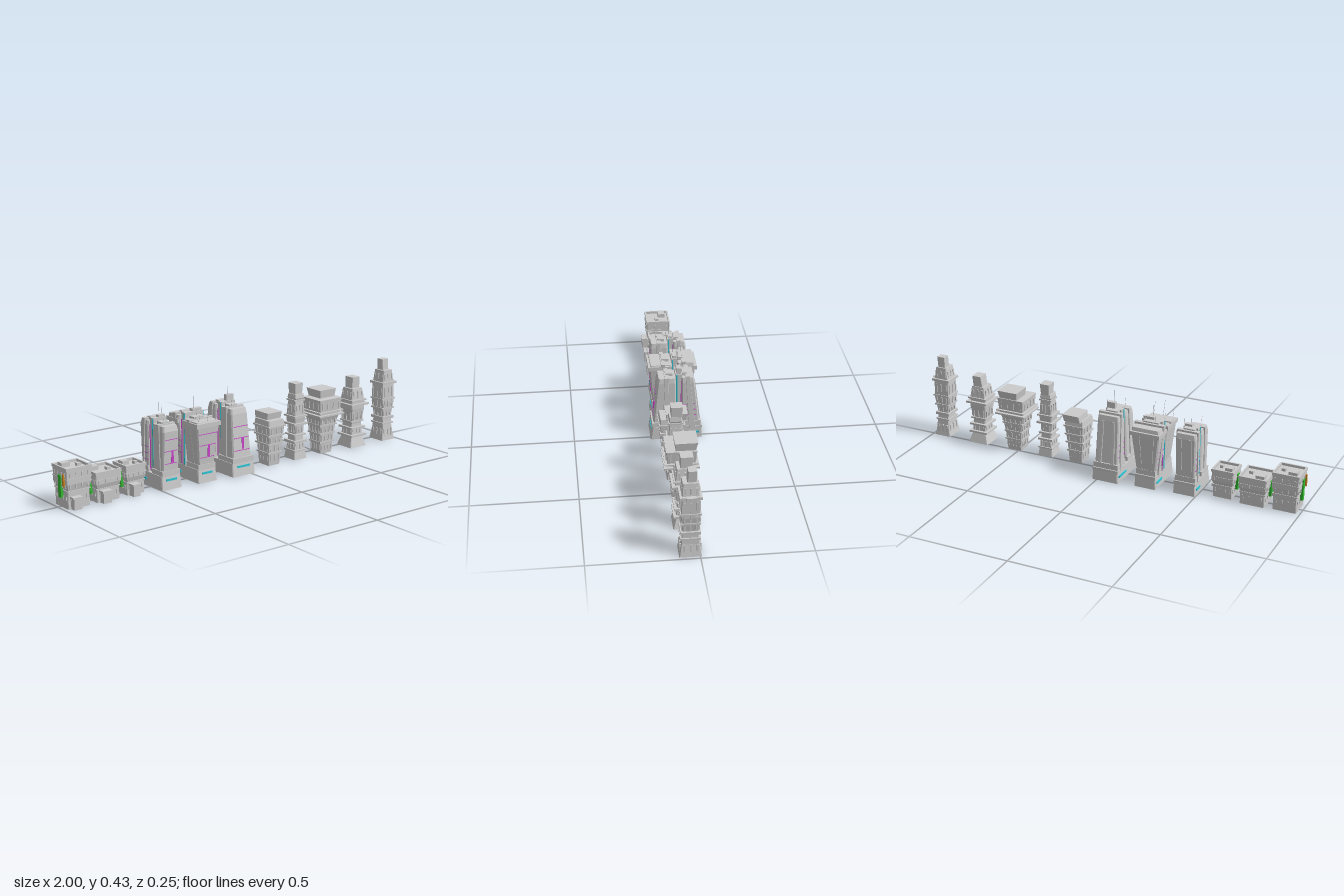
import * as THREE from 'three';

const mat = (color) => new THREE.MeshStandardMaterial({ color, flatShading: true });
const GREY = mat(0xcccccc), MAGENTA = mat(0xcc44cc), TEAL = mat(0x2ec8d8), GREEN = mat(0x33bb33), ORANGE = mat(0xcc8822);

function add(parent, name, geometry, material = GREY) {
  const mesh = new THREE.Mesh(geometry, material);
  mesh.name = name;
  parent.add(mesh);
  return mesh;
}

// box given by its limits
function box(parent, name, x0, x1, y0, y1, z0, z1, material) {
  const m = add(parent, name, new THREE.BoxGeometry(x1 - x0, y1 - y0, z1 - z0), material);
  m.position.set((x0 + x1) / 2, (y0 + y1) / 2, (z0 + z1) / 2);
  return m;
}

// solid skinned over chamfered rectangles, each section [y, x0, x1, z0, z1]
function loft(parent, name, sections, c = 0.004, material = GREY) {
  const rings = sections.map(([y, x0, x1, z0, z1]) => [
    [x0 + c, z1], [x1 - c, z1], [x1, z1 - c], [x1, z0 + c],
    [x1 - c, z0], [x0 + c, z0], [x0, z0 + c], [x0, z1 - c],
  ].map(([x, z]) => [x, y, z]));
  const pos = [], tri = (a, b, d) => pos.push(...a, ...b, ...d);
  for (let r = 0; r < rings.length - 1; r++) {
    const lo = rings[r], hi = rings[r + 1];
    for (let i = 0; i < 8; i++) {
      const j = (i + 1) % 8;
      tri(lo[i], lo[j], hi[j]);
      tri(lo[i], hi[j], hi[i]);
    }
  }
  const bot = rings[0], top = rings[rings.length - 1];
  for (let i = 1; i < 7; i++) {
    tri(top[0], top[i], top[i + 1]);
    tri(bot[0], bot[i + 1], bot[i]);
  }
  const g = new THREE.BufferGeometry();
  g.setAttribute('position', new THREE.Float32BufferAttribute(pos, 3));
  g.computeVertexNormals();
  return add(parent, name, g, material);
}

// limits of a loft at height y
function sectionAt(sections, y) {
  let i = 0;
  while (i < sections.length - 2 && sections[i + 1][0] < y) i++;
  const a = sections[i], b = sections[i + 1], t = (y - a[0]) / (b[0] - a[0]);
  return a.map((v, k) => v + (b[k] - v) * t);
}

function ledge(parent, sections, y, out, h = 0.008) {
  const [, x0, x1, z0, z1] = sectionAt(sections, y);
  box(parent, 'ledge', x0 - out, x1 + out, y, y + h, z0 - out, z1 + out);
}

// raised window frames on all four sides
function windows(parent, sections, y, h, n = 3) {
  const [, x0, x1, z0, z1] = sectionAt(sections, y + h / 2);
  const w = 0.007, d = 0.003;
  for (let i = 0; i < n; i++) {
    const t = (i + 0.5) / n, x = x0 + (x1 - x0) * t, z = z0 + (z1 - z0) * t;
    for (const f of [z0, z1]) box(parent, 'window', x - w / 2, x + w / 2, y, y + h, f - d, f + d);
    for (const f of [x0, x1]) box(parent, 'window', f - d, f + d, y, y + h, z - w / 2, z + w / 2);
  }
}

function antenna(parent, x, y, z, h, lean = 0) {
  const m = add(parent, 'antenna', new THREE.CylinderGeometry(0.0006, 0.0012, h, 4));
  m.position.set(x, y + h / 2, z + lean * h / 2);
  m.rotation.x = Math.atan(lean);
}

// flat roof edge around an open roof
function parapet(parent, x0, x1, z0, z1, y, h, t = 0.008) {
  const outer = new THREE.Shape([[x0, -z0], [x1, -z0], [x1, -z1], [x0, -z1]].map((p) => new THREE.Vector2(...p)));
  outer.holes.push(new THREE.Path([[x0 + t, -z0 - t], [x0 + t, -z1 + t], [x1 - t, -z1 + t], [x1 - t, -z0 - t]].map((p) => new THREE.Vector2(...p))));
  const m = add(parent, 'parapet', new THREE.ExtrudeGeometry(outer, { depth: h, bevelEnabled: false }));
  m.rotation.x = -Math.PI / 2;
  m.position.y = y;
}

// small house block with porch, roof hut and side signs
function house(root, x, hx, z0, z1, h, tall) {
  const g = new THREE.Group();
  g.name = 'lowBlock';
  g.position.x = x;
  root.add(g);
  const b = hx - 0.007;
  const s = [[0, -b, b, z0 + 0.006, z1 - 0.006], [h * 0.45, -b, b, z0 + 0.006, z1 - 0.006],
    [h * 0.6, -hx, hx, z0, z1], [h - 0.012, -hx, hx, z0, z1]];
  loft(g, 'body', s, 0.003);
  parapet(g, -hx - 0.002, hx + 0.002, z0 - 0.002, z1 + 0.002, h - 0.014, 0.014);
  box(g, 'roofHut', -hx * 0.75, -hx * 0.1, h - 0.012, h + 0.008, z0 + 0.02, z0 + 0.055);
  box(g, 'roofVent', hx * 0.3, hx * 0.6, h - 0.012, h + 0.002, 0, 0.02);
  box(g, 'porch', -hx * 0.65, 0, 0, 0.055, z1 - 0.01, 0.088);
  box(g, 'porchRoof', -hx * 0.72, hx * 0.07, 0.05, 0.058, z1 - 0.01, 0.09);
  ledge(g, s, h * 0.42, 0.003, 0.005);
  ledge(g, s, h * 0.72, 0.002, 0.004);
  for (const t of tall ? [0.2, 0.5, 0.78] : [0.2, 0.62]) windows(g, s, h * t, 0.018, 4);
  for (let i = 0; i < 3; i++) box(g, 'airUnit', hx - 0.004, hx + 0.006, h * (0.3 + i * 0.2), h * (0.3 + i * 0.2) + 0.014, -0.03 + i * 0.03, -0.015 + i * 0.03);
  box(g, 'sideSign', -hx - 0.006, -b + 0.002, h * 0.25, h * 0.8, 0.0, 0.022, GREEN);
  if (tall) box(g, 'smallSign', -hx - 0.008, -hx + 0.002, h * 0.55, h * 0.85, 0.04, 0.05, ORANGE);
}
 
// twin slab skyscraper: front tower, back tower and a lit core between them
function skyscraper(root, x, wb, wt, zb, zt, h, hBack, hCore) {
  const g = new THREE.Group();
  g.name = 'skyscraper';
  g.position.x = x;
  root.add(g);
  const in0 = 0.001, in1 = -0.027, zs = zb - 0.012;
  loft(g, 'podium', [[0, -wb, wb, -zb, zb], [0.065, -wb + 0.003, wb - 0.003, -zb + 0.004, zb - 0.009]]);
  const front = [[0.06, -wb + 0.012, wb - 0.012, in0, zs], [h - 0.025, -wt + 0.008, wt - 0.008, in0, zt],
    [h, -wt + 0.012, wt - 0.012, in0, zt - 0.006]];
  const back = [[0.06, -wb + 0.008, wb - 0.008, -zs, in1], [hBack - 0.035, -wt, wt, -zt, in1], [hBack - 0.01, -wt + 0.004, wt - 0.004, -zt + 0.004, in1]];
  loft(g, 'frontTower', front, 0.006);
  loft(g, 'backTower', back, 0.006);
  // skirts, stepped
  box(g, 'frontSkirt', -wb + 0.006, wb - 0.006, 0.062, 0.088, in0, zs + 0.004);
  box(g, 'backSkirt', -wb + 0.002, wb - 0.002, 0.05, 0.065, -zb + 0.002, in1);
  box(g, 'backSkirt', -wb + 0.005, wb - 0.005, 0.065, 0.092, -zs - 0.004, in1);
  // raised band running up both sides and over the roof of each tower
  loft(g, 'backBand', [[0.055, -wb, wb, -zs + 0.022, -0.062], [hBack, -wt - 0.004, wt + 0.004, -0.066, -0.045]], 0.001);
  loft(g, 'frontBand', [[0.088, -wb + 0.008, wb - 0.008, 0.04, 0.065], [h + 0.006, -wt + 0.004, wt - 0.004, 0.035, 0.055]], 0.001);
  // vertical ribs on the back
  for (const sx of [-1, 1]) {
    const a = sx * wb * 0.5, b = sx * wt * 0.5;
    loft(g, 'backRib', [[0.09, a - 0.008, a + 0.008, -zs - 0.003, -zs + 0.01], [hBack - 0.035, b - 0.008, b + 0.008, -zt - 0.003, -zt + 0.01]], 0.001);
  }
  // core with light strips
  box(g, 'core', -wt * 0.72, wt * 0.72, 0.06, hBack + 0.004, in1 - 0.001, in0 + 0.001);
  box(g, 'coreTop', -wt * 0.1, wt * 0.62, hBack, hCore, -0.024, -0.003);
  box(g, 'roofUnit', -wt * 0.6, wt * 0.5, hBack - 0.012, hBack + 0.006, -0.055, -0.03);
  box(g, 'frontRoofUnit', -wt * 0.5, wt * 0.3, h - 0.002, h + 0.014, 0.015, 0.05);
  for (const sx of [-1, 1]) {
    const cx = sx * wt * 0.72;
    box(g, 'tealStrip', cx - 0.003, cx + 0.003, 0.07, hBack, -0.006, -0.001, TEAL);
    box(g, 'magentaStrip', cx - 0.003, cx + 0.003, 0.07, hBack - 0.03, -0.027, -0.023, MAGENTA);
  }
  // lit floor lines
  for (const y of [0.122, 0.153, 0.183]) {
    const [, x0, x1, z0, z1] = sectionAt(back, y);
    box(g, 'floorLine', x0 - 0.001, x1 + 0.001, y, y + 0.003, z0 + 0.012, z1 - 0.001, MAGENTA);
  }
  for (const y of [0.12, 0.18, 0.235]) {
    const [, x0, x1, , z1] = sectionAt(front, y);
    box(g, 'floorLine', x0 + 0.008, x1 - 0.008, y, y + 0.003, z1 - 0.01, z1 + 0.001, MAGENTA);
  }
  const zw = sectionAt(front, 0.155)[4];
  box(g, 'litWindow', 0.002, 0.014, 0.125, 0.18, zw - 0.01, zw + 0.003, MAGENTA);
  box(g, 'entranceLight', -wb * 0.55, wb * 0.55, 0.04, 0.05, zb - 0.02, zb - 0.004, TEAL);
  for (const sx of [-1, 1]) box(g, 'sideLight', sx * wb - 0.003, sx * wb + 0.0015, 0.026, 0.036, -zb + 0.016, -0.032, TEAL);
  antenna(g, wt * 0.05, hCore - 0.01, -0.01, 0.07);
  antenna(g, wt * 0.6, hBack - 0.01, -0.028, 0.06);
  antenna(g, -wt * 0.4, h - 0.01, 0.05, 0.06, 0.2);
  return g;
}

// slim carved tower; profile rows are [y, halfX, halfZ], ledges [y, out, height]
function tower(root, name, x, z, profile, ledges, rows, n) {
  const g = new THREE.Group();
  g.name = name;
  g.position.set(x, 0, z);
  root.add(g);
  const s = profile.map(([y, a, b, dx = 0, dz = 0]) => [y, dx - a, dx + a, dz - b, dz + b]);
  loft(g, 'shaft', s, 0.003);
  ledges.forEach(([y, out, h]) => ledge(g, s, y, out, h));
  rows.forEach(([y, h]) => windows(g, s, y, h, n));
  return g;
}

export function createModel() {
  const root = new THREE.Group();
  root.name = 'cityRow';

  house(root, -0.925, 0.064, -0.055, 0.066, 0.19, true);
  house(root, -0.77, 0.067, -0.065, 0.064, 0.143, false);
  house(root, -0.617, 0.054, -0.05, 0.056, 0.143, false);

  skyscraper(root, -0.443, 0.056, 0.051, 0.094, 0.09, 0.3, 0.32, 0.335);
  const wide = skyscraper(root, -0.247, 0.055, 0.073, 0.108, 0.113, 0.295, 0.318, 0.335);
  box(wide, 'frontCap', -0.069, 0.069, 0.27, 0.29, 0.002, 0.119);
  box(wide, 'backCap', -0.076, 0.076, 0.27, 0.29, -0.122, -0.028);
  for (let i = 0; i < 5; i++) antenna(wide, -0.05 + i * 0.025, 0.285, i % 2 ? -0.05 : 0.1, 0.06 + 0.014 * (i % 3), i % 2 ? 0 : 0.3);
  skyscraper(root, -0.045, 0.068, 0.056, 0.127, 0.09, 0.322, 0.338, 0.372);

  // flaring block tower
  const t1 = tower(root, 'flaringTower', 0.178, 0.043,
    [[0, 0.035, 0.038], [0.1, 0.041, 0.046], [0.2, 0.05, 0.058], [0.23, 0.047, 0.054]],
    [[0.06, 0.005], [0.105, 0.006], [0.15, 0.006], [0.195, 0.005]],
    [[0.025, 0.03], [0.073, 0.027], [0.118, 0.027], [0.162, 0.027]], 3);
  loft(t1, 'roofBlock', [[0.225, -0.038, 0.05, -0.065, 0.025], [0.262, -0.034, 0.055, -0.073, 0.03]], 0.002);

  // waisted slim tower
  const t2 = tower(root, 'waistedTower', 0.347, 0.042,
    [[0, 0.04, 0.042], [0.08, 0.029, 0.03], [0.13, 0.026, 0.027], [0.21, 0.034, 0.035], [0.3, 0.027, 0.028], [0.31, 0.03, 0.031], [0.33, 0.027, 0.028]],
    [[0.04, 0.005], [0.085, 0.012, 0.01], [0.12, 0.01], [0.175, 0.013, 0.01], [0.215, 0.008], [0.295, 0.005]],
    [[0.05, 0.028], [0.135, 0.035], [0.23, 0.045]], 3);
  loft(t2, 'roofBlock', [[0.325, -0.021, 0.024, -0.03, 0.02], [0.383, -0.023, 0.028, -0.034, 0.022]], 0.002);

  // wide-headed tower
  const t3 = tower(root, 'wideHeadedTower', 0.523, 0.038,
    [[0, 0.038, 0.036], [0.1, 0.045, 0.043], [0.17, 0.056, 0.052], [0.2, 0.065, 0.063], [0.285, 0.073, 0.07]],
    [[0.055, 0.004], [0.1, 0.005], [0.145, 0.004], [0.2, 0.017, 0.008], [0.218, 0.012, 0.006]],
    [[0.02, 0.028], [0.066, 0.028], [0.112, 0.028], [0.156, 0.035], [0.235, 0.034]], 4);
  loft(t3, 'roofBlock', [[0.282, -0.034, 0.062, -0.064, 0.026], [0.325, -0.04, 0.068, -0.075, 0.03]], 0.002);

  // ringed tower
  const t4 = tower(root, 'ringedTower', 0.728, 0.042,
    [[0, 0.054, 0.054], [0.05, 0.038, 0.04], [0.12, 0.034, 0.035], [0.2, 0.044, 0.045], [0.24, 0.044, 0.045], [0.305, 0.034, 0.036]],
    [[0.055, 0.013, 0.01], [0.095, 0.012, 0.01], [0.13, 0.007], [0.218, 0.015, 0.01], [0.24, 0.006]],
    [[0.068, 0.026], [0.142, 0.06], [0.255, 0.035]], 3);
  loft(t4, 'roofBlock', [[0.302, -0.024, 0.028, -0.032, 0.02], [0.36, -0.018, 0.03, -0.037, 0.02]], 0.002);

  // tallest tower
  const t5 = tower(root, 'tallTower', 0.943, 0.042,
    [[0, 0.044, 0.05], [0.06, 0.033, 0.041], [0.125, 0.03, 0.035], [0.2, 0.041, 0.042], [0.29, 0.041, 0.04], [0.37, 0.029, 0.034]],
    [[0.085, 0.006], [0.112, 0.008, 0.014], [0.165, 0.005], [0.215, 0.004], [0.298, 0.009, 0.012]],
    [[0.02, 0.04], [0.13, 0.032], [0.175, 0.036], [0.23, 0.05], [0.32, 0.03]], 3);
  loft(t5, 'roofBlock', [[0.365, -0.02, 0.02, -0.027, 0.014], [0.425, -0.019, 0.024, -0.028, 0.01]], 0.002);
  box(t5, 'sideBalcony', 0.036, 0.057, 0.295, 0.312, -0.02, 0.02);
  return root;
}
